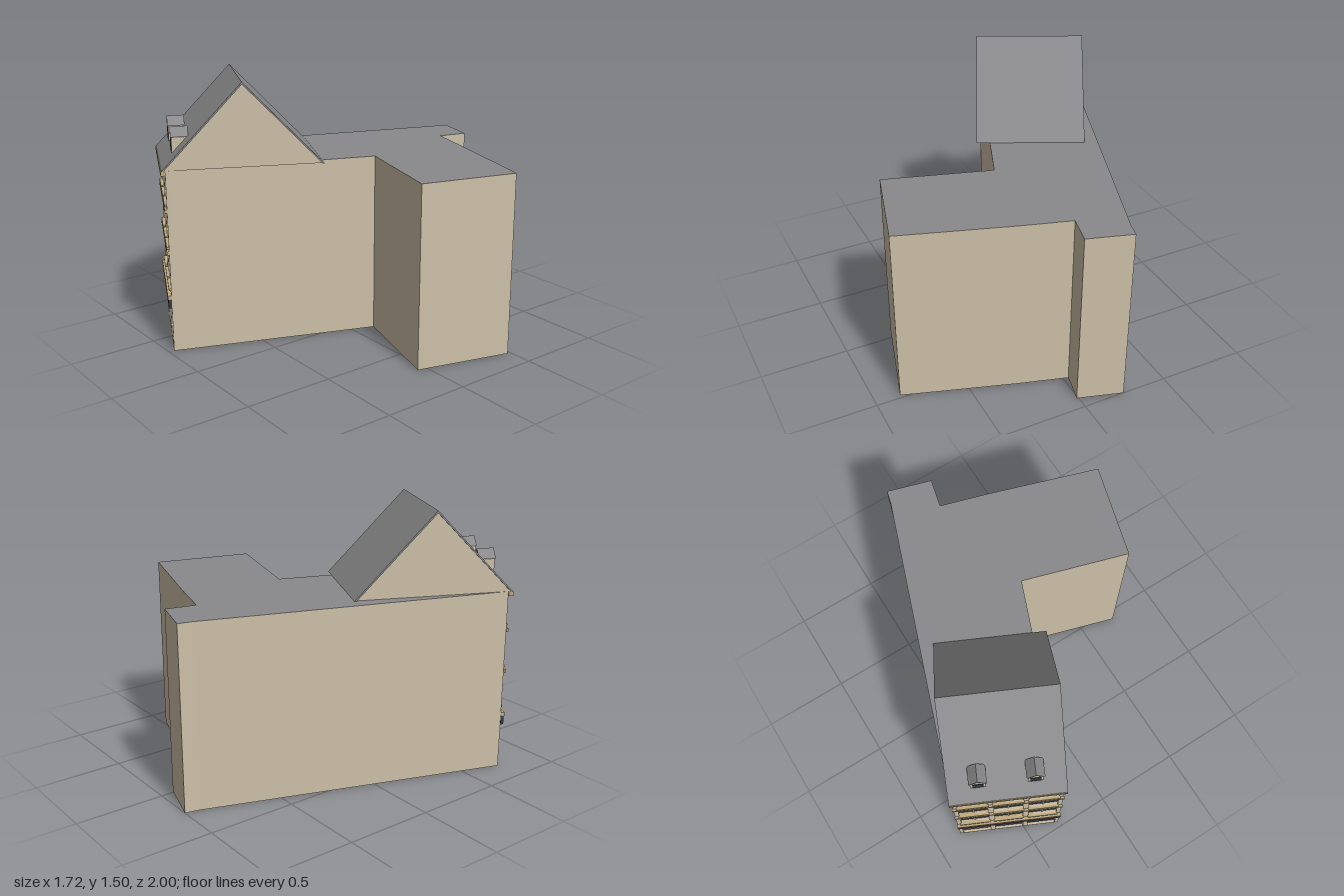
import * as THREE from 'three';

const mat = (name, color, double = false) => {
  const m = new THREE.MeshStandardMaterial({ color });
  m.name = name;
  if (double) m.side = THREE.DoubleSide;
  return m;
};

export function createModel() {
  const stone = mat('stone', 0xcdc0a7, true);
  const trim = mat('trim stone', 0xc0aa80);
  const slate = mat('slate', 0x8a8a8c, true);
  const glass = mat('dark glass', 0x323c45, true);
  const wood = mat('door wood', 0x6b4a3a, true);
  const frame = mat('window frame', 0xd6ccb2);

  const model = new THREE.Group();
  model.name = 'cornerHouse';
  const H = 1.04; // wall height

  const add = (parent, name, geometry, material) => {
    const mesh = new THREE.Mesh(geometry, material);
    mesh.name = name;
    parent.add(mesh);
    return mesh;
  };
  const box = (parent, name, material, w, h, d, x, y, z) => {
    const mesh = add(parent, name, new THREE.BoxGeometry(w, h, d), material);
    mesh.position.set(x, y, z);
    return mesh;
  };

  // Footprint as [x, z]; the first edge is the street facade
  const plan = [
    [-0.845, 0.715], [-0.31, 0.97], [0.115, -0.125], [0.71, 0.055], [0.86, -0.48],
    [0.66, -0.545], [0.24, -0.68], [-0.03, -0.76], [0.01, -0.925], [-0.24, -1], [-0.26, -0.92],
  ];

  // Plain outer walls, open at the bottom
  const pos = [];
  for (let i = 1; i < plan.length; i++) {
    const [ax, az] = plan[i];
    const [bx, bz] = plan[(i + 1) % plan.length];
    pos.push(ax, 0, az, bx, 0, bz, bx, H, bz, ax, 0, az, bx, H, bz, ax, H, az);
  }
  const walls = new THREE.BufferGeometry();
  walls.setAttribute('position', new THREE.Float32BufferAttribute(pos, 3));
  walls.computeVertexNormals();
  add(model, 'outerWalls', walls, stone);

  // Flat roof over the whole footprint
  const flat = new THREE.ShapeGeometry(new THREE.Shape(plan.map(([x, z]) => new THREE.Vector2(x, -z))));
  add(model, 'flatRoof', flat.rotateX(-Math.PI / 2).translate(0, H, 0), slate);

  // Street side: local x runs along the facade, local z points to the street
  const street = new THREE.Group();
  street.name = 'streetSide';
  street.position.set(-0.5775, 0, 0.8425);
  street.rotation.y = -Math.atan2(0.255, 0.535);
  model.add(street);
  const W = 0.593;
  const recess = 0.02;
  const columns = [-0.193, 0, 0.193];

  // Openings as [centre x, bottom, top, width]
  const rows = [[0.366, 0.555, 0.498], [0.608, 0.792, 0.736], [0.85, 1.016, 0.965]];
  const windows = rows.flatMap(([b, t, bar]) => columns.map((x) => ({ x, b, t, bar, w: 0.16 })));
  const shops = columns.map((x, i) => ({ x, b: 0.006, t: 0.257, w: 0.166, door: i === 0 }));

  // Facade wall with holes
  const face = new THREE.Shape([
    new THREE.Vector2(-W / 2, 0), new THREE.Vector2(W / 2, 0),
    new THREE.Vector2(W / 2, H), new THREE.Vector2(-W / 2, H),
  ]);
  for (const { x, b, t, w } of [...windows, ...shops]) {
    face.holes.push(new THREE.Path([
      new THREE.Vector2(x - w / 2, b), new THREE.Vector2(x - w / 2, t),
      new THREE.Vector2(x + w / 2, t), new THREE.Vector2(x + w / 2, b),
    ]));
  }
  const faceGeo = new THREE.ExtrudeGeometry(face, { depth: recess, bevelEnabled: false });
  add(street, 'facadeWall', faceGeo.translate(0, 0, -recess), stone);

  // Sash windows with glazing bars and sills
  for (const { x, b, t, bar, w } of windows) {
    const g = new THREE.Group();
    g.name = 'window';
    street.add(g);
    box(g, 'pane', glass, w, t - b, 0.004, x, (b + t) / 2, -recess + 0.002);
    box(g, 'uprightBar', frame, 0.009, t - b, 0.01, x, (b + t) / 2, -recess + 0.004);
    box(g, 'crossBar', frame, w, 0.009, 0.01, x, bar, -recess + 0.004);
    box(g, 'sill', trim, w + 0.012, 0.012, 0.03, x, b - 0.006, -0.003);
  }

  // Door and shop windows
  for (const { x, b, t, w, door } of shops) {
    box(street, door ? 'door' : 'shopWindow', door ? wood : glass, w, t - b, 0.004, x, (b + t) / 2, -recess + 0.002);
  }

  // Shop fascia, string courses and cornice
  box(street, 'shopFascia', glass, W + 0.004, 0.052, 0.018, 0, 0.283, 0.008);
  for (const [y, h, out] of [[0.32, 0.022, 0.02], [0.579, 0.022, 0.013], [0.818, 0.02, 0.013]]) {
    box(street, 'stringCourse', trim, W + 0.008, h, out, 0, y, out / 2);
  }
  box(street, 'cornice', trim, W + 0.02, 0.025, 0.026, 0, 1.029, 0.012);

  // Profiles in (depth, height) are extruded along the facade
  const prism = (points, length) => {
    const s = new THREE.Shape(points.map(([z, y]) => new THREE.Vector2(-z, y)));
    return new THREE.ExtrudeGeometry(s, { depth: length, bevelEnabled: false })
      .translate(0, 0, -length / 2).rotateY(Math.PI / 2);
  };

  // Pitched roof: thin slate chevron over a stone gable
  const front = 0.022, back = -0.864, mid = (front + back) / 2, top = 1.505;
  add(street, 'pitchedRoof', prism([
    [front, H], [mid, top], [back, H], [back + 0.012, H], [mid, top - 0.013], [front - 0.012, H],
  ], 0.615), slate);
  add(street, 'gables', prism([
    [front - 0.012, H + 0.001], [mid, top - 0.013], [back + 0.012, H + 0.001],
  ], 0.6), stone);

  // Dormers
  const gableEnd = (w, eave, peak, base) => new THREE.Shape([
    new THREE.Vector2(-w, base), new THREE.Vector2(w, base),
    new THREE.Vector2(w, eave), new THREE.Vector2(0, peak), new THREE.Vector2(-w, eave),
  ]);
  for (const x of [-0.147, 0.147]) {
    const d = new THREE.Group();
    d.name = 'dormer';
    d.position.set(x, 0, -0.042);
    street.add(d);
    const body = new THREE.ExtrudeGeometry(gableEnd(0.039, 1.206, 1.242, 1.1), { depth: 0.09, bevelEnabled: false });
    add(d, 'dormerBody', body.translate(0, 0, -0.093), stone);
    const cap = new THREE.Shape([
      new THREE.Vector2(-0.047, 1.2), new THREE.Vector2(-0.039, 1.2), new THREE.Vector2(0, 1.241),
      new THREE.Vector2(0.039, 1.2), new THREE.Vector2(0.047, 1.2), new THREE.Vector2(0, 1.25),
    ]);
    const capGeo = new THREE.ExtrudeGeometry(cap, { depth: 0.096, bevelEnabled: false });
    add(d, 'dormerRoof', capGeo.translate(0, 0, -0.095), slate);
    box(d, 'dormerWindow', glass, 0.056, 0.066, 0.004, 0, 1.15, -0.002);
  }

  return model;
}
